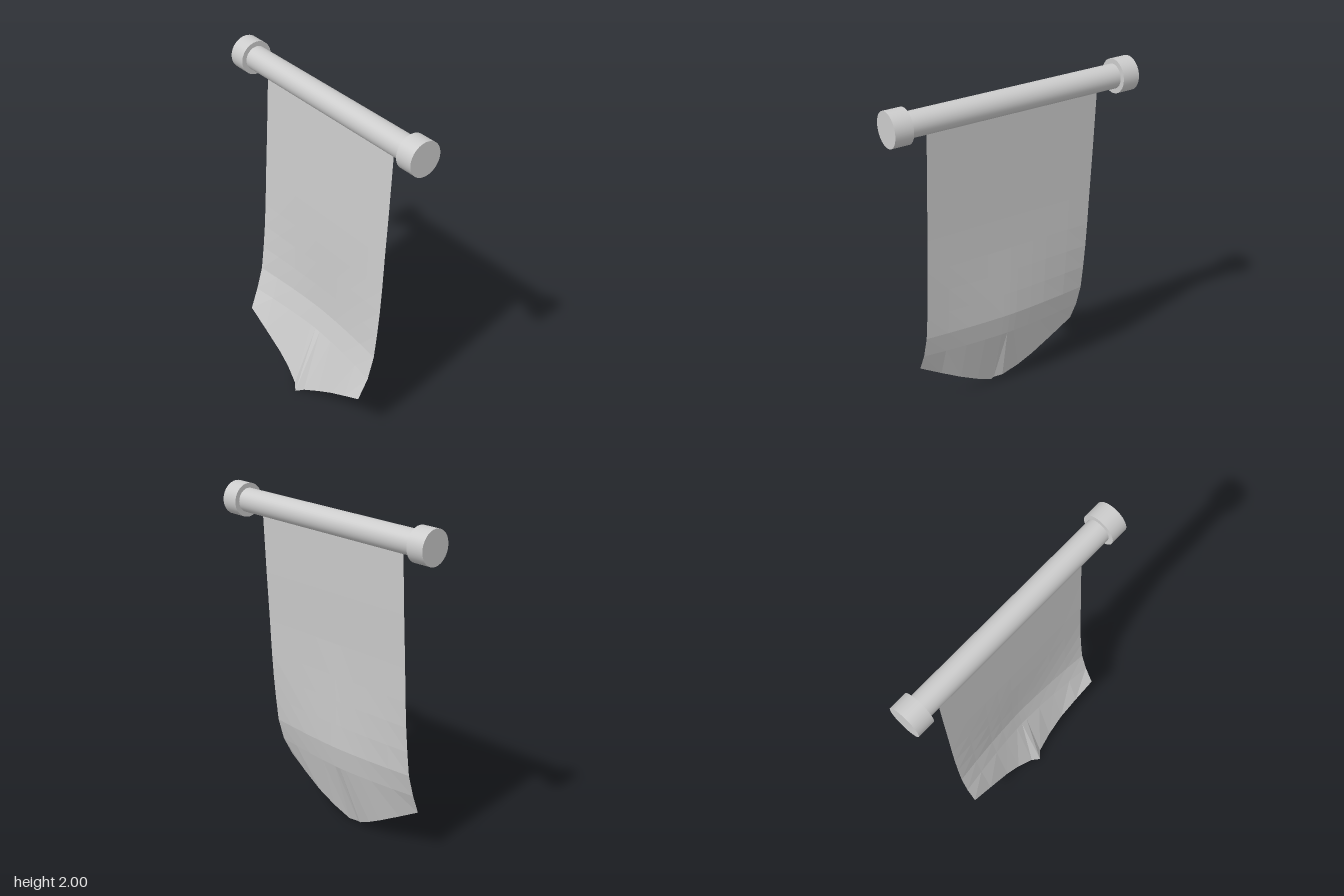
import * as THREE from 'three';

const ROD_X = 0.066, ROD_Y = 1.903;

// Cylinder lying along z
function bar(name, radius, length, z, material) {
  const geometry = new THREE.CylinderGeometry(radius, radius, length, 40);
  geometry.rotateX(Math.PI / 2);
  const mesh = new THREE.Mesh(geometry, material);
  mesh.name = name;
  mesh.position.set(ROD_X, ROD_Y, z);
  return mesh;
}

// Hanging cloth: rows of [y, x at the middle, x at the side edges]
function clothGeometry() {
  const rows = [
    [1.85, 0.066, 0.066], [1.5, 0.049, 0.049], [1.2, 0.033, 0.032],
    [1.0, 0.026, 0.022], [0.85, 0.023, 0.012], [0.7, 0.02, -0.002],
    [0.55, 0.015, -0.02], [0.41, -0.014, -0.06],
  ];
  // Columns of [z, x at the pointed hem]
  const columns = [
    [-0.54, -0.11], [-0.4, -0.108], [-0.25, -0.108], [-0.155, -0.117],
    [-0.055, -0.14], [-0.01, -0.17], [0.03, -0.135], [0.14, -0.115],
    [0.26, -0.106], [0.39, -0.112], [0.525, -0.122],
  ];
  const positions = [], indices = [], n = columns.length;
  for (const [y, middle, side] of rows) {
    for (const [z] of columns) {
      const u = Math.abs(z + 0.008) / 0.533;
      positions.push(THREE.MathUtils.lerp(middle, side, Math.pow(u, 1.6)), y, z);
    }
  }
  for (const [z, x] of columns) {
    const u = Math.abs(z + 0.01) / 0.533;
    positions.push(x, 0.288 * Math.pow(u, 1.06), z * 0.99);
  }
  for (let r = 0; r < rows.length; r++) {
    for (let c = 0; c < n - 1; c++) {
      const a = r * n + c, b = a + n;
      indices.push(a, a + 1, b, a + 1, b + 1, b);
    }
  }
  const geometry = new THREE.BufferGeometry();
  geometry.setAttribute('position', new THREE.Float32BufferAttribute(positions, 3));
  geometry.setIndex(indices);
  geometry.computeVertexNormals();
  return geometry;
}

export function createModel() {
  const group = new THREE.Group();
  group.name = 'hangingBanner';
  const solid = new THREE.MeshStandardMaterial({ color: 0xcccccc });
  const fabric = new THREE.MeshStandardMaterial({
    color: 0xcccccc, flatShading: true, side: THREE.DoubleSide,
  });

  // Rod with a thicker cap at each end
  group.add(bar('rod', 0.069, 1.4, 0, solid));
  group.add(bar('frontCap', 0.097, 0.104, 0.698, solid));
  group.add(bar('backCap', 0.097, 0.104, -0.698, solid));

  // Banner cloth
  const cloth = new THREE.Mesh(clothGeometry(), fabric);
  cloth.name = 'cloth';
  group.add(cloth);
  return group;
}
